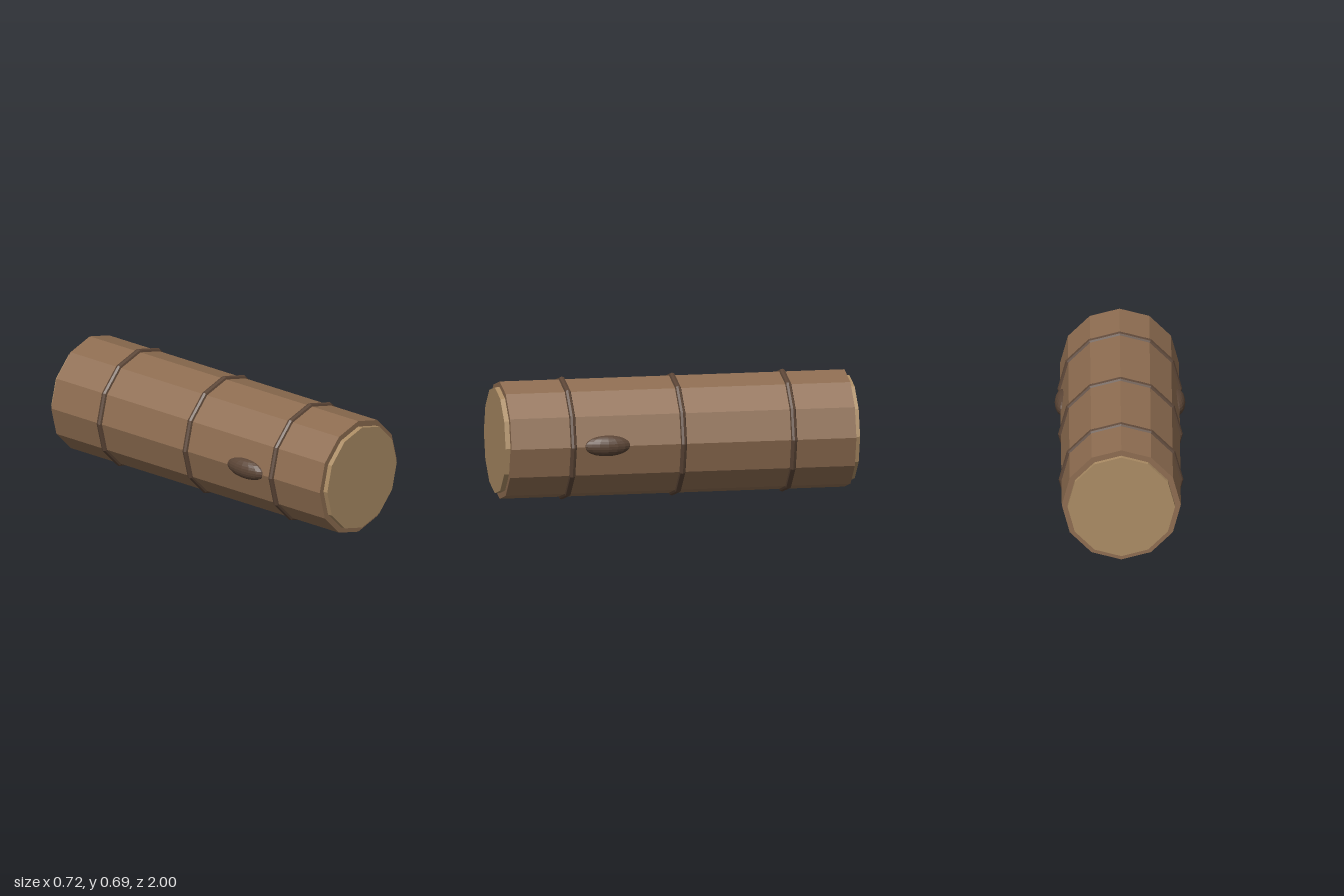
import * as THREE from 'three';

const SIDES = 12;
const AXIS_Y = 0.345;

export function createModel() {
  const material = (name, color, flatShading) => {
    const m = new THREE.MeshStandardMaterial({ color, flatShading });
    m.name = name;
    return m;
  };
  const bark = material('bark brown', 0x8e6d51, true);
  const cutWood = material('cut wood tan', 0xab8c64, true);
  const darkBark = material('dark bark', 0x5b4536, true);

  const group = new THREE.Group();
  group.name = 'log';
  const add = (name, geometry, mat, x, y, z) => {
    const mesh = new THREE.Mesh(geometry, mat);
    mesh.name = name;
    mesh.position.set(x, y, z);
    group.add(mesh);
    return mesh;
  };
  // twelve-sided prism lying along z
  const prism = (radius, length) =>
    new THREE.CylinderGeometry(radius, radius, length, SIDES).rotateX(Math.PI / 2);

  // trunk
  add('trunk', prism(0.329, 1.945), bark, 0, AXIS_Y, 0);

  // pale cut ends, slightly narrower than the trunk
  for (const [name, side] of [['frontCutEnd', 1], ['backCutEnd', -1]]) {
    add(name, prism(0.297, 0.04), cutWood, 0, AXIS_Y, side * 0.98);
  }

  // raised rings around the trunk
  const ringGeometry = new THREE.TorusGeometry(0.327, 0.018, 8, SIDES);
  [['frontRing', 0.622], ['middleRing', 0], ['backRing', -0.622]].forEach(([name, z]) =>
    add(name, ringGeometry, darkBark, 0, AXIS_Y, z));

  // oval knots, one on each flank
  const knotGeometry = new THREE.SphereGeometry(1, 16, 12).scale(0.049, 0.058, 0.135);
  for (const [name, side] of [['leftKnot', 1], ['rightKnot', -1]]) {
    add(name, knotGeometry, darkBark, side * 0.312, AXIS_Y + 0.002, 0.43);
  }

  return group;
}
